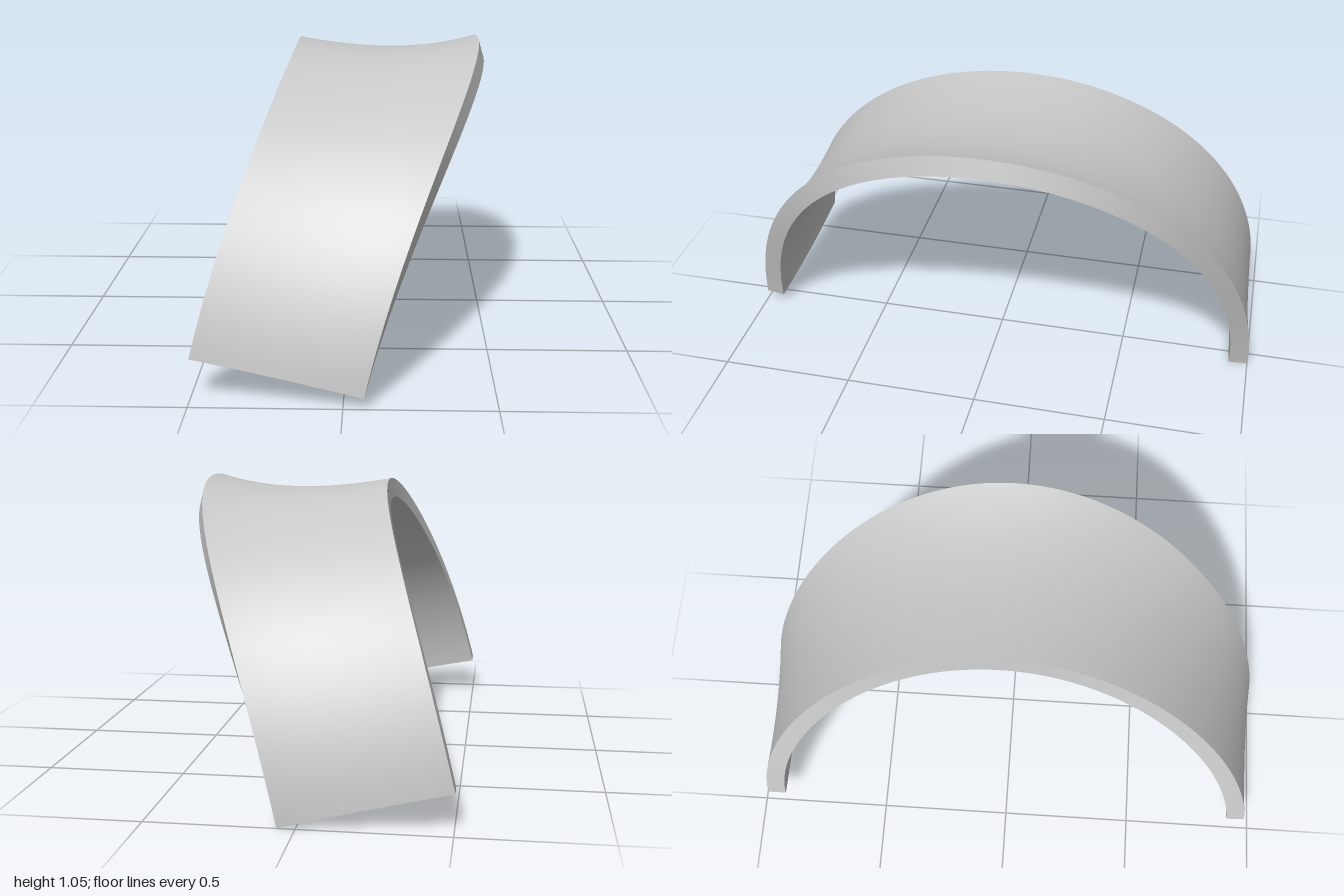
import * as THREE from 'three';

const THICKNESS = 0.071;
const { lerp } = THREE.MathUtils;

// Outer skin: u runs across the band (-x to +x), t along the arch (front to back)
function skin(u, t) {
  const start = lerp(0.092, 0.034, u);
  const end = Math.PI - lerp(0.071, 0, u);
  const phi = lerp(start, end, t);
  const c = Math.cos(phi), s = Math.sin(phi);
  const sl = (s - 0.08) / 0.92;
  // both edges lean slightly to the back as they rise
  const left = new THREE.Vector3(-0.5 + 0.3 * sl * (0.72 + 0.28 * sl), 0.06 + 0.98 * s, 0.97 * c - 0.036 * s);
  const right = new THREE.Vector3(0.06 + 0.419 * s * (0.52 + 0.48 * s), 1.05 * s, c - 0.026 * s);
  const p = left.lerp(right, u);
  // saddle dip, a little stronger towards the right edge
  const dip = 4 * u * (1 - u) * (0.82 + 0.36 * u) * (0.004 + 0.036 * s);
  p.y -= dip * s;
  p.z -= dip * c;
  return p;
}

// Point at depth d (0 = outer skin, 1 = inner skin) along the surface normal
function point(u, t, d) {
  const p = skin(u, t);
  if (d === 0) return p;
  const e = 0.001;
  const du = skin(u + e, t).sub(skin(u - e, t));
  const dt = skin(u, t + e).sub(skin(u, t - e));
  return p.addScaledVector(du.cross(dt).normalize(), -THICKNESS * d);
}

// Smooth patch over a rectangular grid of fn(a, b)
function patch(fn, na, nb) {
  const pos = [], index = [];
  for (let j = 0; j <= nb; j++) {
    for (let i = 0; i <= na; i++) pos.push(...fn(i / na, j / nb).toArray());
  }
  for (let j = 0; j < nb; j++) {
    for (let i = 0; i < na; i++) {
      const k = j * (na + 1) + i, m = k + na + 1;
      index.push(k, k + 1, m + 1, k, m + 1, m);
    }
  }
  const geo = new THREE.BufferGeometry();
  geo.setAttribute('position', new THREE.Float32BufferAttribute(pos, 3));
  geo.setIndex(index);
  geo.computeVertexNormals();
  return geo;
}

export function createModel() {
  const group = new THREE.Group();
  group.name = 'saddleArch';
  const grey = new THREE.MeshStandardMaterial({ color: 0xc8c8c8 });
  grey.name = 'plain grey';

  const add = (name, fn, na, nb) => {
    const mesh = new THREE.Mesh(patch(fn, na, nb), grey);
    mesh.name = name;
    group.add(mesh);
  };

  // Broad curved faces
  add('outerSurface', (a, b) => point(a, b, 0), 24, 96);
  add('innerSurface', (a, b) => point(1 - a, b, 1), 24, 96);
  // Narrow rims along the arch; the model's left is +x
  add('leftRim', (a, b) => point(1, b, a), 1, 96);
  add('rightRim', (a, b) => point(0, b, 1 - a), 1, 96);
  // Feet
  add('frontFoot', (a, b) => point(1 - a, 0, b), 24, 1);
  add('backFoot', (a, b) => point(a, 1, b), 24, 1);

  return group;
}
